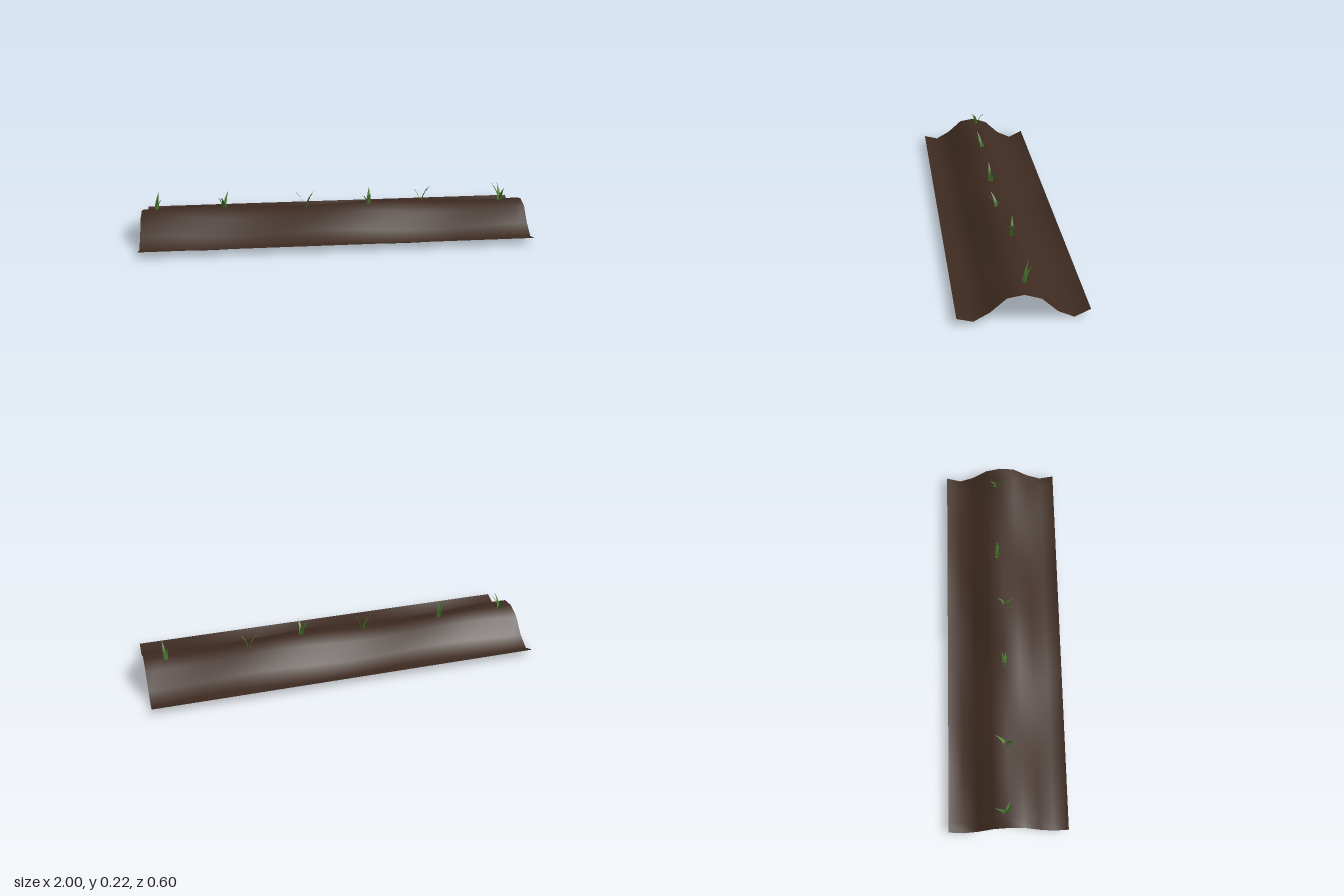
import * as THREE from 'three';

// Half cross-section of the soil ridge, crest to rim: [z, y, wave height]
const PROFILE = [[0, 0.136, 0.0095], [0.077, 0.1175, 0.0105], [0.152, 0.05, 0.01], [0.226, 0.0125, 0.0095], [0.3, 0.039, 0]];
const rise = (x, z, amp) => amp * Math.cos(2 * Math.PI * (x - 0.21) + 10 * z);

// Long undulating sheet of soil
function soilRidge() {
  const section = [...PROFILE.slice(1).reverse().map(([z, y, a]) => [-z, y, a]), ...PROFILE];
  const columns = 40;
  const geometry = new THREE.PlaneGeometry(2, 0.6, columns, section.length - 1).rotateX(-Math.PI / 2);
  const p = geometry.attributes.position;
  for (let i = 0; i < p.count; i++) {
    const [z, y, amp] = section[Math.floor(i / (columns + 1))];
    p.setY(i, y + rise(p.getX(i), z, amp));
    p.setZ(i, z);
  }
  geometry.computeVertexNormals();
  const mesh = new THREE.Mesh(geometry, new THREE.MeshStandardMaterial({ color: 0x3d2a20, side: THREE.DoubleSide }));
  mesh.name = 'soilRidge';
  return mesh;
}

// Tapered blade that bends outward along +x as it rises
function bladeGeometry(height, lean, width) {
  const rows = 3;
  const geometry = new THREE.PlaneGeometry(1, 1, 1, rows);
  const p = geometry.attributes.position;
  for (let i = 0; i < p.count; i++) {
    const t = p.getY(i) + 0.5;
    const side = p.getX(i);
    p.setXYZ(i, lean * t * t, height * t, -side * width * (1 - Math.pow(t, 1.6)));
  }
  geometry.computeVertexNormals();
  return geometry;
}

// Tufts along the crest: x, z and the headings of the blades in degrees
const TUFTS = [
  [-0.925, -0.012, [-80, 25, 62]],
  [-0.575, -0.005, [-65, 150, 105]],
  [-0.15, 0, [175, -20, 10]],
  [0.18, 0.01, [150, 85, -80]],
  [0.465, -0.025, [188, 0, 14]],
  [0.89, -0.015, [-150, 80, -105]],
];

export function createModel() {
  const model = new THREE.Group();
  model.name = 'grassyRidge';
  model.add(soilRidge());

  const greens = [0x3f6a28, 0x5c8c38, 0x4a7a2e].map(
    (color) => new THREE.MeshStandardMaterial({ color, side: THREE.DoubleSide }));

  TUFTS.forEach(([x, z, headings], n) => {
    const tuft = new THREE.Group();
    tuft.name = `grassTuft${n + 1}`;
    tuft.position.set(x, 0.132 + rise(x, 0, 0.0095), z);
    headings.forEach((degrees, i) => {
      const height = 0.212 + 0.004 * ((n + i) % 3) - tuft.position.y;
      const blade = new THREE.Mesh(bladeGeometry(height, 0.05 - 0.007 * i, 0.021), greens[(n + i) % 3]);
      blade.name = 'grassBlade';
      const a = THREE.MathUtils.degToRad(degrees);
      blade.rotation.y = -a;
      blade.position.set(0.006 * Math.cos(a), 0, 0.006 * Math.sin(a));
      tuft.add(blade);
    });
    model.add(tuft);
  });
  return model;
}
